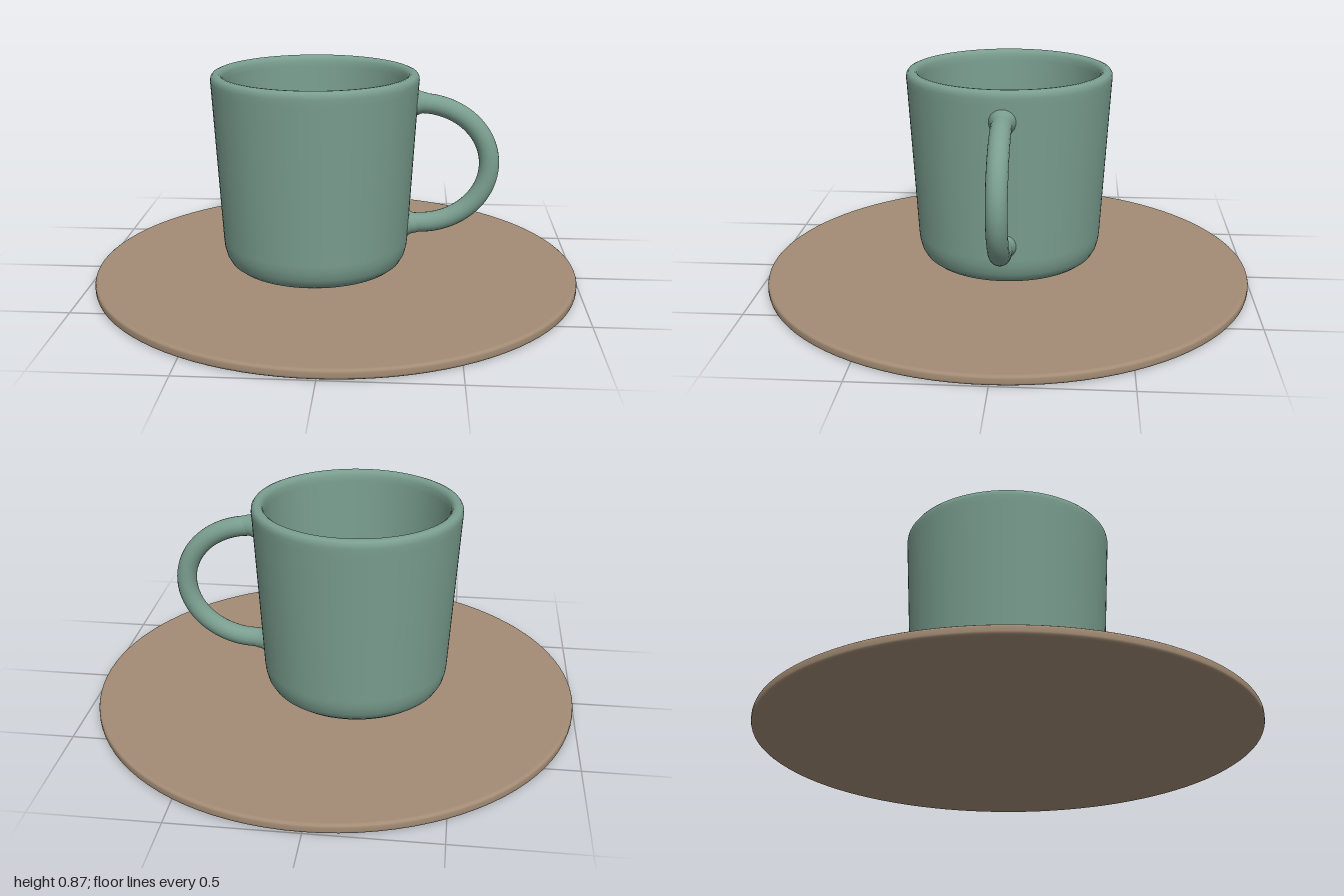
import * as THREE from 'three';

const CUP_X = -0.085;

// Lathe from [radius, height] pairs, running from the underside outwards and up
function lathe(name, profile, material) {
  const points = profile.map(([r, y]) => new THREE.Vector2(r, y));
  const mesh = new THREE.Mesh(new THREE.LatheGeometry(points, 96), material);
  mesh.name = name;
  return mesh;
}

export function createModel() {
  const ceramic = new THREE.MeshStandardMaterial({ color: 0x7a9e90 });
  ceramic.name = 'green ceramic';
  const wood = new THREE.MeshStandardMaterial({ color: 0xa38c75 });
  wood.name = 'brown saucer';

  const model = new THREE.Group();
  model.name = 'cupAndSaucer';

  // Flat disc with softened edges
  model.add(lathe('saucer', [
    [0, 0], [0.985, 0], [0.992, 0.001], [0.998, 0.005], [1, 0.012],
    [1, 0.028], [0.998, 0.034], [0.992, 0.038], [0.985, 0.039], [0, 0.039],
  ], wood));

  // Tapered cup: foot, wall, rounded rim, inner wall and floor
  const cup = new THREE.Group();
  cup.name = 'cup';
  cup.position.x = CUP_X;
  cup.add(lathe('cupBody', [
    [0, 0.05], [0.3, 0.05], [0.312, 0.051], [0.335, 0.061], [0.357, 0.078],
    [0.373, 0.105], [0.382, 0.14], [0.385, 0.17],
    [0.421, 0.81], [0.423, 0.835], [0.421, 0.851], [0.414, 0.861], [0.402, 0.866],
    [0.39, 0.865], [0.38, 0.858], [0.374, 0.845], [0.371, 0.82],
    [0.345, 0.2], [0.341, 0.165], [0.332, 0.138], [0.315, 0.12], [0.298, 0.115], [0, 0.115],
  ], ceramic));

  // Half-ellipse handle in the x-y plane
  const path = [new THREE.Vector3(0.38, 0.745, 0)];
  for (let i = 0; i <= 16; i++) {
    const a = Math.PI / 2 - (i / 16) * Math.PI;
    path.push(new THREE.Vector3(0.425 + 0.288 * Math.cos(a), 0.488 + 0.254 * Math.sin(a), 0));
  }
  path.push(new THREE.Vector3(0.365, 0.231, 0));
  const curve = new THREE.CatmullRomCurve3(path);
  const handle = new THREE.Mesh(new THREE.TubeGeometry(curve, 80, 0.041, 20), ceramic);
  handle.name = 'handle';
  cup.add(handle);

  // Small flares where the handle meets the wall
  for (const [x, y] of [[0.405, 0.744], [0.375, 0.231]]) {
    const flare = lathe('handleJoint', [
      [0.054, 0], [0.052, 0.012], [0.045, 0.026], [0.041, 0.045], [0.038, 0.055],
    ], ceramic);
    flare.position.set(x, y, 0);
    flare.rotation.z = -Math.PI / 2;
    cup.add(flare);
  }

  model.add(cup);
  return model;
}
